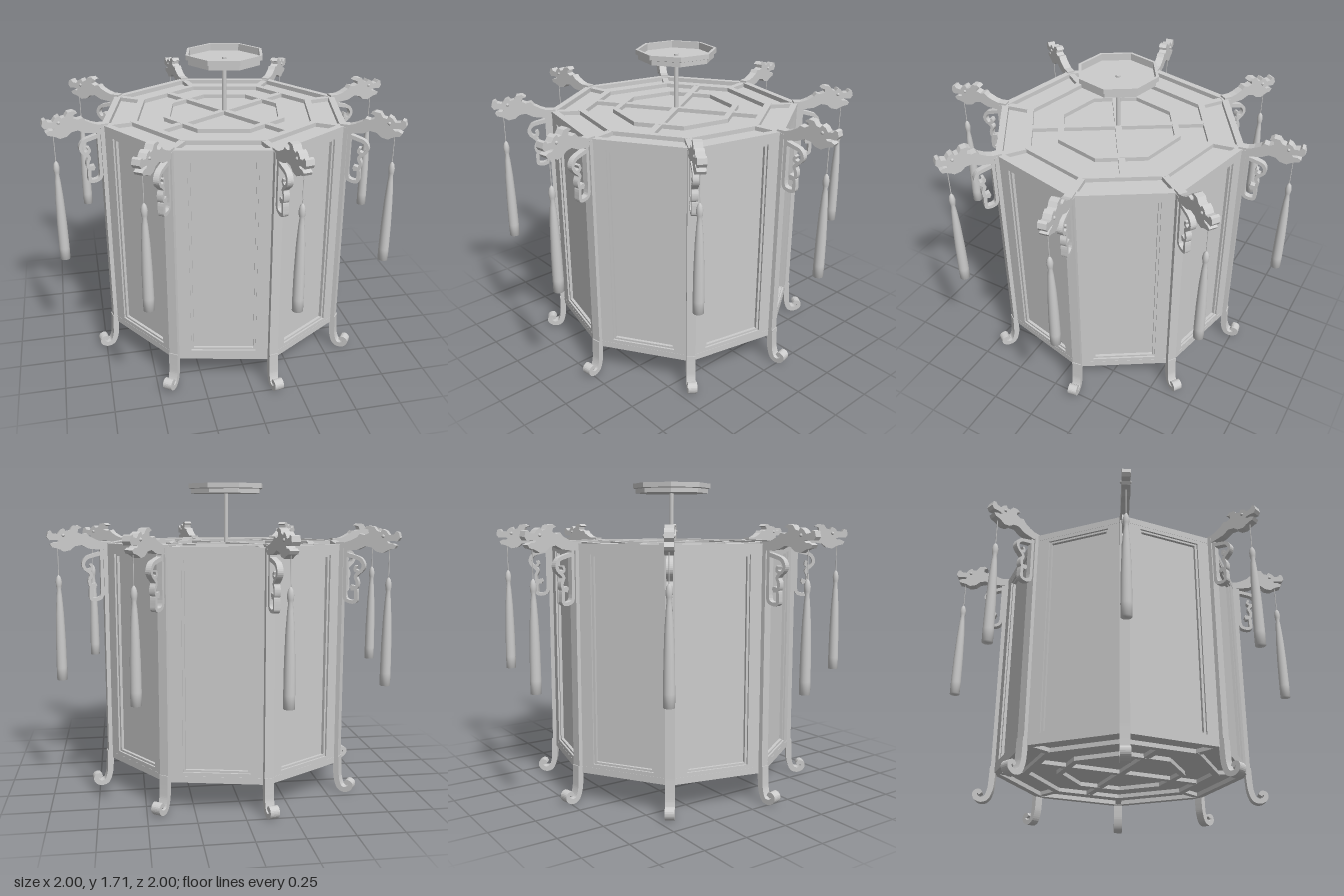
import * as THREE from 'three';

const smooth = new THREE.MeshStandardMaterial({ color: 0xcccccc });
const flat = new THREE.MeshStandardMaterial({ color: 0xcccccc, flatShading: true });
const SIDES = 8, STEP = Math.PI / 4, R = 0.7;
const APOTHEM = R * Math.cos(STEP / 2), EDGE = 2 * R * Math.sin(STEP / 2);
const v2 = (p) => new THREE.Vector2(p[0], p[1]);

function add(parent, name, geometry, material = flat) {
  const mesh = new THREE.Mesh(geometry, material);
  mesh.name = name;
  parent.add(mesh);
  return mesh;
}

// Flat plate cut from a side outline, centred across its thickness
function plate(shape, depth) {
  return new THREE.ExtrudeGeometry(shape, { depth, bevelEnabled: false, curveSegments: 6 })
    .translate(0, 0, -depth / 2);
}

// Curved strip with a width tapering from w0 to w1
function ribbon(points, w0, w1, depth, n = 28) {
  const curve = new THREE.SplineCurve(points.map(v2));
  const a = [], b = [];
  for (let i = 0; i <= n; i++) {
    const t = i / n, p = curve.getPoint(t), d = curve.getTangent(t);
    const w = (w0 + (w1 - w0) * t) / 2;
    a.push(new THREE.Vector2(p.x - d.y * w, p.y + d.x * w));
    b.unshift(new THREE.Vector2(p.x + d.y * w, p.y - d.x * w));
  }
  return plate(new THREE.Shape([...a, ...b]), depth);
}

const octagon = (r) => Array.from({ length: SIDES }, (_, i) =>
  new THREE.Vector2(r * Math.cos(i * STEP), r * Math.sin(i * STEP)));

// Horizontal octagonal ring (or slab when inner is 0)
function octRing(outer, inner, y, h) {
  const shape = new THREE.Shape(octagon(outer));
  if (inner) shape.holes.push(new THREE.Path(octagon(inner)));
  return new THREE.ExtrudeGeometry(shape, { depth: h, bevelEnabled: false })
    .rotateX(-Math.PI / 2).translate(0, y, 0);
}

function rectFrame(w, h, border, depth) {
  const rect = (x, y) => [[-x, -y], [x, -y], [x, y], [-x, y]].map(v2);
  const shape = new THREE.Shape(rect(w / 2, h / 2));
  shape.holes.push(new THREE.Path(rect(w / 2 - border[0], h / 2 - border[1])));
  return plate(shape, depth);
}

// Octagonal lattice with concentric rings, corner spokes and a central cross
function lattice(name, y, slabY) {
  const g = new THREE.Group();
  g.name = name;
  add(g, 'latticePanel', octRing(0.67, 0, slabY, 0.012));
  add(g, 'outerRing', octRing(0.701, 0.662, y, 0.035));
  add(g, 'middleRing', octRing(0.545, 0.505, y + 0.002, 0.031));
  add(g, 'innerRing', octRing(0.355, 0.32, y + 0.002, 0.031));
  const spoke = (label, r0, r1, angle) => {
    const s = add(g, label, new THREE.BoxGeometry(r1 - r0, 0.029, 0.036).translate((r0 + r1) / 2, y + 0.0175, 0));
    s.rotation.y = angle;
  };
  for (let i = 0; i < SIDES; i++) spoke('cornerSpoke', 0.52, 0.68, i * STEP);
  for (let i = 0; i < 2; i++) spoke('crossBar', -0.485, 0.485, STEP / 2 + i * Math.PI / 2);
  return g;
}

// One wall: frame, thin moulding and recessed pane
function wall() {
  const g = new THREE.Group();
  g.name = 'wall';
  add(g, 'wallFrame', rectFrame(EDGE, 1.21, [0.093, 0.05], 0.03)).position.z = APOTHEM - 0.015;
  add(g, 'paneMoulding', rectFrame(0.352, 1.112, [0.014, 0.012], 0.02)).position.z = APOTHEM - 0.02;
  add(g, 'pane', new THREE.BoxGeometry(0.37, 1.13, 0.008)).position.z = APOTHEM - 0.03;
  g.position.y = 0.77;
  return g;
}

// Beast-head arm outline: radius outward, height up
const HEAD = [
  [0.67, 1.345], [0.73, 1.345], [0.79, 1.352], [0.83, 1.372], [0.865, 1.366], [0.89, 1.345],
  [0.925, 1.338], [0.945, 1.35], [0.965, 1.358], [0.985, 1.362], [0.995, 1.378], [0.975, 1.388],
  [0.955, 1.388], [0.945, 1.398], [0.97, 1.402], [1.0, 1.4], [1.012, 1.418], [1.005, 1.445],
  [0.99, 1.45], [0.98, 1.436], [0.955, 1.432], [0.94, 1.452], [0.92, 1.462], [0.91, 1.447],
  [0.89, 1.452], [0.875, 1.474], [0.845, 1.478], [0.825, 1.465], [0.845, 1.458], [0.848, 1.44],
  [0.825, 1.43], [0.8, 1.436], [0.785, 1.418], [0.75, 1.4], [0.72, 1.39], [0.67, 1.39],
];

const TASSEL = [[0, 0.632], [0.028, 0.632], [0.0285, 0.7], [0.027, 0.85], [0.022, 1.0], [0.015, 1.1],
  [0.011, 1.135], [0.015, 1.15], [0.017, 1.175], [0.012, 1.198], [0.004, 1.21], [0, 1.212]];

// Everything attached to one corner, drawn along +x
function corner() {
  const g = new THREE.Group();
  g.name = 'corner';
  add(g, 'cornerPost', new THREE.BoxGeometry(0.04, 1.21, 0.05).translate(0.692, 0.77, 0));
  add(g, 'leg', ribbon([[0.7, 0.2], [0.703, 0.12], [0.708, 0.07], [0.725, 0.026], [0.757, 0.015],
    [0.784, 0.03], [0.787, 0.053], [0.768, 0.062], [0.757, 0.047]], 0.034, 0.022, 0.05, 36));
  add(g, 'headArm', plate(new THREE.Shape(HEAD.map(v2)), 0.045));
  for (const s of [-1, 1]) {
    add(g, 'eye', new THREE.SphereGeometry(0.009, 10, 8), smooth).position.set(0.925, 1.425, s * 0.022);
  }
  // Scrolled bracket under the arm
  add(g, 'bracketStem', ribbon([[0.72, 1.35], [0.72, 1.2], [0.722, 1.1], [0.745, 1.075],
    [0.78, 1.075], [0.785, 1.1], [0.78, 1.145], [0.752, 1.155]], 0.02, 0.018, 0.032));
  add(g, 'bracketScroll', ribbon([[0.725, 1.325], [0.765, 1.315], [0.805, 1.3], [0.822, 1.265],
    [0.803, 1.235], [0.776, 1.245], [0.782, 1.268]], 0.022, 0.014, 0.032));
  add(g, 'bracketTail', ribbon([[0.803, 1.236], [0.78, 1.21], [0.79, 1.18], [0.785, 1.15],
    [0.755, 1.14]], 0.018, 0.016, 0.032));
  // Hanging tassel
  add(g, 'tasselCord', new THREE.CylinderGeometry(0.0025, 0.0025, 0.17, 6).translate(0.955, 1.285, 0), smooth);
  add(g, 'tassel', new THREE.LatheGeometry(TASSEL.map(v2), 16).translate(0.955, 0, 0), smooth);
  return g;
}

export function createModel() {
  const model = new THREE.Group();
  model.name = 'hangingLantern';
  const lantern = new THREE.Group();
  lantern.name = 'lantern';
  lantern.rotation.y = THREE.MathUtils.degToRad(10);
  model.add(lantern);

  for (let i = 0; i < SIDES; i++) {
    const c = corner();
    c.rotation.y = i * STEP;
    const w = wall();
    w.rotation.y = (i + 0.5) * STEP;
    lantern.add(c, w);
  }
  lantern.add(lattice('topLattice', 1.345, 1.343), lattice('bottomLattice', 0.16, 0.185));

  // Suspension rod and hollow ceiling tray
  add(lantern, 'rod', new THREE.CylinderGeometry(0.013, 0.013, 0.33, 12).translate(0, 1.51, 0), smooth);
  const tray = [[0, 1.652], [0.208, 1.652], [0.208, 1.676], [0.222, 1.68], [0.222, 1.706],
    [0.206, 1.706], [0.206, 1.668], [0, 1.668]];
  add(lantern, 'ceilingTray', new THREE.LatheGeometry(tray.map(v2), SIDES));
  add(lantern, 'rodNut', new THREE.CylinderGeometry(0.012, 0.012, 0.012, 8).translate(0, 1.672, 0));
  return model;
}
